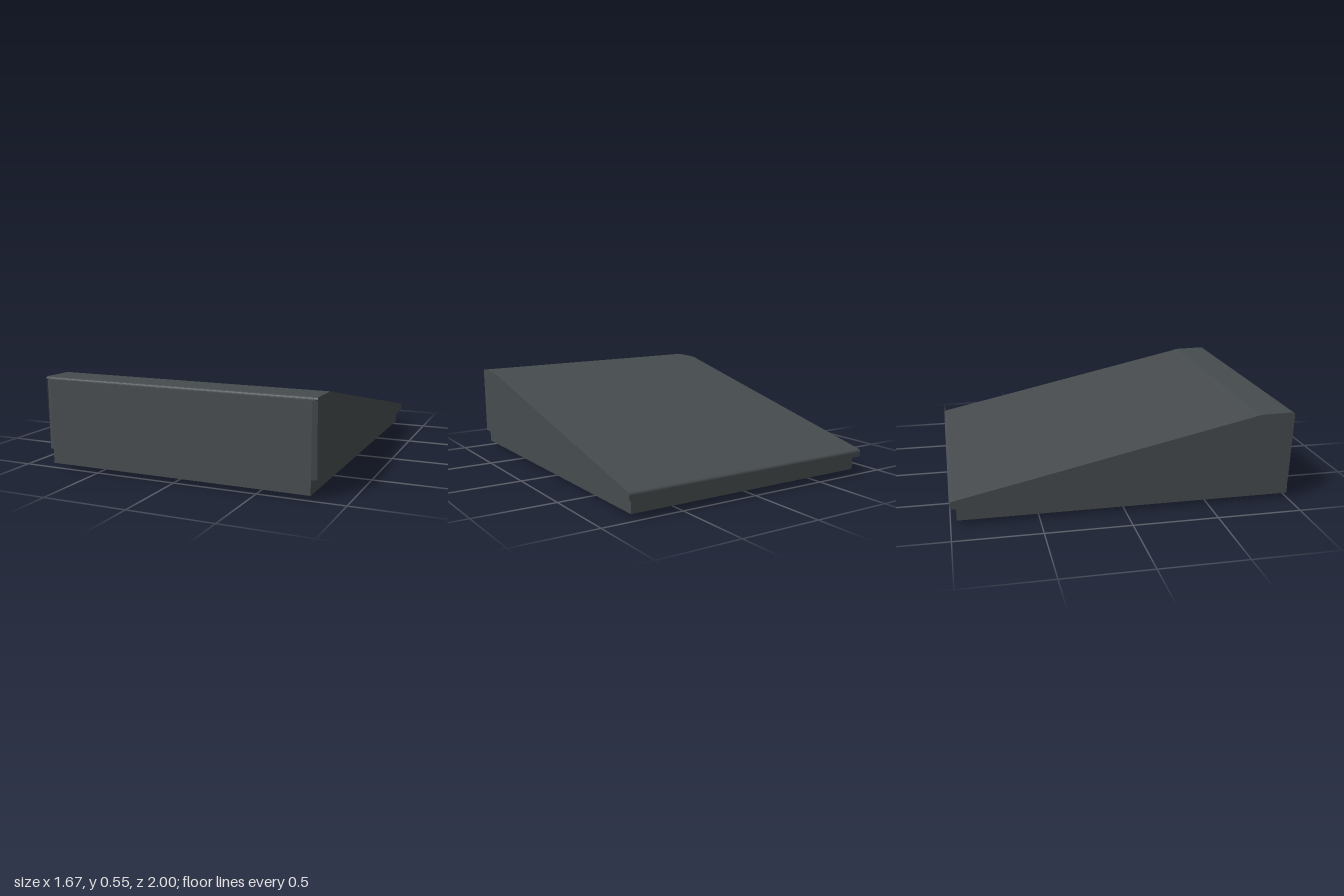
import * as THREE from 'three';

const HALF = 0.835;  // half width of the cover
const INNER = 0.805; // half width of the base and front panel

// Wedge outline drawn as (z, y): flat top at the front, long slope to the back
function wedgeShape() {
  const s = new THREE.Shape();
  s.moveTo(1, 0.112);
  s.lineTo(1, 0.53);
  s.quadraticCurveTo(1, 0.548, 0.982, 0.548);
  s.lineTo(0.8, 0.545);
  s.quadraticCurveTo(0.775, 0.544, 0.75, 0.535);
  s.lineTo(-0.985, 0.158);
  s.quadraticCurveTo(-1, 0.154, -1, 0.14);
  s.lineTo(-1, 0.112);
  s.closePath();
  return s;
}

// Extrudes the outline across x, from x0 to x1
function wedge(x0, x1) {
  const g = new THREE.ExtrudeGeometry(wedgeShape(), { depth: x1 - x0, bevelEnabled: false, curveSegments: 6 });
  g.rotateY(-Math.PI / 2);
  g.translate(x1, 0, 0);
  return g;
}

export function createModel() {
  const model = new THREE.Group();
  const casing = new THREE.MeshStandardMaterial({ color: 0x464b4e });
  casing.name = 'slate grey casing';

  const add = (name, geometry, x = 0, y = 0, z = 0) => {
    const mesh = new THREE.Mesh(geometry, casing);
    mesh.name = name;
    mesh.position.set(x, y, z);
    model.add(mesh);
  };

  // Sloping cover and its two cheeks, whose front outer edges are eased back
  add('cover', wedge(-INNER, INNER));
  for (const side of [-1, 1]) {
    const g = side > 0 ? wedge(INNER, HALF) : wedge(-HALF, -INNER);
    const p = g.attributes.position;
    for (let i = 0; i < p.count; i++) {
      const outer = Math.abs(p.getX(i)) > HALF - 0.001;
      if (outer && p.getZ(i) > 0.98 && p.getY(i) < 0.535) p.setZ(i, 0.986);
    }
    g.computeVertexNormals();
    add(side > 0 ? 'leftCheek' : 'rightCheek', g);
  }

  // Inset base tray, flush with the cover at the front
  add('base', new THREE.BoxGeometry(INNER * 2, 0.09, 1.965), 0, 0.073, 0.0175);

  // Four tapered feet
  for (const x of [-0.72, 0.72])
    for (const z of [-0.865, 0.865])
      add('foot', new THREE.CylinderGeometry(0.047, 0.03, 0.03, 20), x, 0.015, z);

  return model;
}
